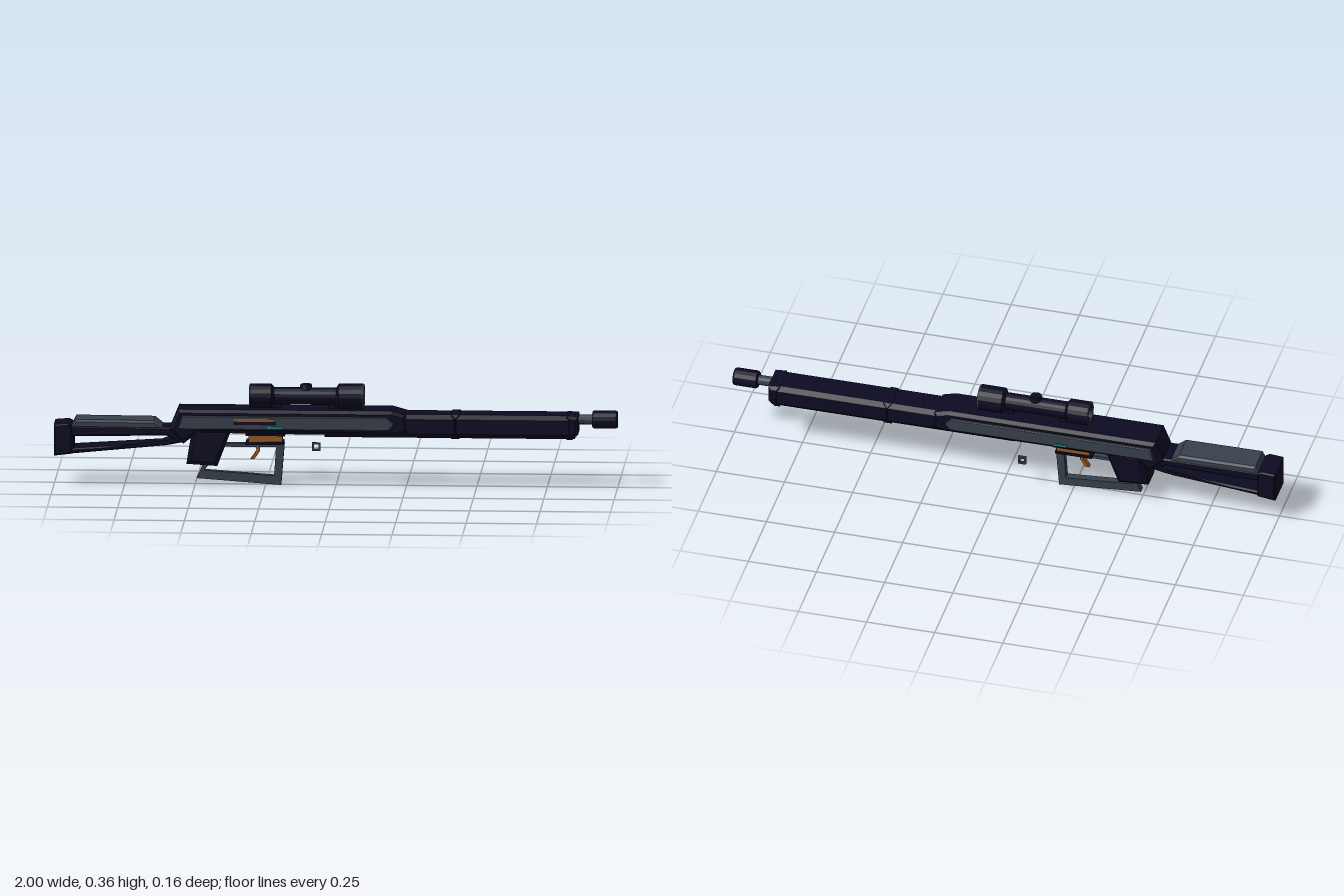
import * as THREE from 'three';

const mat = (name, color) => {
  const m = new THREE.MeshStandardMaterial({ color, flatShading: true });
  m.name = name;
  return m;
};

export function createModel() {
  const navy = mat('dark navy', 0x0c0b22);
  const grey = mat('slate grey', 0x38404c);
  const copper = mat('copper', 0x96561f);
  const teal = mat('teal', 0x1f8080);
  const group = new THREE.Group();

  const add = (name, geometry, material, x = 0, y = 0, z = 0) => {
    const mesh = new THREE.Mesh(geometry, material);
    mesh.name = name;
    mesh.position.set(x, y, z);
    group.add(mesh);
    return mesh;
  };
  const box = (name, m, x0, x1, y0, y1, z0, z1) =>
    add(name, new THREE.BoxGeometry(x1 - x0, y1 - y0, z1 - z0), m, (x0 + x1) / 2, (y0 + y1) / 2, (z0 + z1) / 2);
  const points = (list) => list.map(([x, y]) => new THREE.Vector2(x, y));

  // Side outline extruded across z from z0 to z1, with chamfers inside the outline
  const plate = (name, m, outline, z0, z1, bevel = 0, hole) => {
    const shape = new THREE.Shape(points(outline));
    if (hole) shape.holes.push(new THREE.Path(points(hole)));
    const geometry = new THREE.ExtrudeGeometry(shape, {
      depth: z1 - z0 - 2 * bevel, bevelEnabled: bevel > 0, bevelSegments: 1,
      bevelSize: bevel, bevelThickness: bevel, bevelOffset: -bevel,
    });
    return add(name, geometry, m, 0, 0, z0 + bevel);
  };

  // Turned part along x, profile given as [x, radius]
  const turned = (name, m, y, profile, sides = 18) => {
    const mesh = add(name, new THREE.LatheGeometry(points(profile.map(([x, r]) => [r, x])), sides), m, 0, y, 0);
    mesh.rotation.z = -Math.PI / 2;
    return mesh;
  };

  // Shoulder stock with an open middle, butt and cheek rest
  plate('stock', navy,
    [[-0.96, 0.113], [-0.6, 0.148], [-0.54, 0.16], [-0.55, 0.212], [-0.96, 0.215]],
    -0.055, 0.055, 0.006, [[-0.93, 0.135], [-0.93, 0.177], [-0.6, 0.183], [-0.575, 0.172], [-0.62, 0.155]]);
  plate('butt', navy, [[-1, 0.108], [-0.935, 0.116], [-0.935, 0.216], [-0.95, 0.224], [-1, 0.22]], -0.062, 0.062, 0.005);
  plate('cheekRest', grey, [[-0.94, 0.208], [-0.61, 0.208], [-0.645, 0.236], [-0.925, 0.238]], -0.056, 0.056, 0.008);

  // Receiver and fore-end
  plate('receiver', navy,
    [[-0.54, 0.155], [-0.49, 0.195], [0.21, 0.19], [0.26, 0.2], [0.25, 0.265], [0.2, 0.279], [-0.56, 0.279], [-0.59, 0.205]],
    -0.067, 0.067, 0.012);
  plate('foreEnd', navy, [[-0.04, 0.182], [0.85, 0.182], [0.85, 0.266], [-0.04, 0.266]], -0.06, 0.06, 0.016);
  plate('foreEndCollar', navy, [[0.82, 0.18], [0.84, 0.18], [0.862, 0.2], [0.862, 0.264], [0.82, 0.267]], -0.062, 0.062, 0.012);
  plate('foreEndBand', navy, [[0.41, 0.18], [0.44, 0.18], [0.44, 0.268], [0.41, 0.268]], -0.062, 0.062, 0.014);

  // Side panels with a teal inlay on each side
  const panel = [[-0.56, 0.21], [0.19, 0.21], [0.21, 0.232], [0.185, 0.258], [-0.545, 0.258]];
  for (const s of [-1, 1]) {
    plate('sidePanel', grey, panel, s * 0.07 - 0.006, s * 0.07 + 0.006, 0.003);
    box('tealInlay', teal, -0.24, -0.19, 0.213, 0.223, s * 0.0765 - 0.002, s * 0.0765 + 0.002);
  }
  box('sideRod', copper, -0.36, -0.22, 0.24, 0.25, 0.073, 0.079);
  box('sideSlot', navy, -0.36, -0.21, 0.228, 0.24, 0.074, 0.078);

  // Grip, guard and trigger
  plate('grip', navy, [[-0.53, 0.08], [-0.42, 0.073], [-0.37, 0.205], [-0.51, 0.205]], -0.054, 0.054, 0.014);
  plate('guardFrame', grey,
    [[-0.47, 0.08], [-0.495, 0.024], [-0.195, 0.002], [-0.183, 0.15], [-0.4, 0.15]],
    -0.0135, 0.0135, 0,
    [[-0.445, 0.08], [-0.468, 0.053], [-0.22, 0.035], [-0.213, 0.138], [-0.395, 0.138]]);
  box('triggerHousing', copper, -0.31, -0.19, 0.157, 0.188, -0.03, 0.03);
  box('housingCover', navy, -0.32, -0.18, 0.183, 0.2, -0.045, 0.045);
  box('housingBase', navy, -0.32, -0.185, 0.149, 0.159, -0.034, 0.034);
  plate('trigger', copper, [[-0.29, 0.15], [-0.282, 0.125], [-0.305, 0.093], [-0.29, 0.093], [-0.27, 0.123], [-0.275, 0.15]], -0.009, 0.009);

  // Small loose square ring beside the body
  plate('squareRing', grey, [[-0.09, 0.111], [-0.06, 0.111], [-0.06, 0.141], [-0.09, 0.141]], -0.076, -0.066, 0,
    [[-0.083, 0.118], [-0.067, 0.118], [-0.067, 0.134], [-0.083, 0.134]]);

  // Barrel and muzzle
  turned('barrel', grey, 0.246, [[0.84, 0], [0.84, 0.018], [0.92, 0.018]], 12);
  turned('muzzle', navy, 0.246, [[0.91, 0], [0.91, 0.028], [0.916, 0.032], [0.994, 0.032], [1, 0.028], [1, 0]], 14);
  turned('muzzleBore', grey, 0.246, [[0.99, 0.011], [1.001, 0.011], [1.001, 0]], 10);

  // Hollow scope with rims, crosshair, turret and mounts
  const sy = 0.321;
  turned('scopeTube', navy, sy, [
    [-0.305, 0.032], [-0.305, 0.043], [-0.23, 0.043], [-0.22, 0.031], [0, 0.031], [0.01, 0.046],
    [0.095, 0.046], [0.095, 0.032], [0.06, 0.027], [-0.27, 0.027], [-0.305, 0.032]]);
  turned('frontRim', grey, sy, [[0.094, 0.046], [0.1, 0.044], [0.1, 0.034], [0.094, 0.032]]);
  turned('rearRim', grey, sy, [[-0.304, 0.032], [-0.308, 0.034], [-0.308, 0.04], [-0.304, 0.043]]);
  box('crosshairVertical', navy, -0.001, 0.001, sy - 0.028, sy + 0.028, -0.0007, 0.0007);
  box('crosshairHorizontal', navy, -0.001, 0.001, sy - 0.0007, sy + 0.0007, -0.028, 0.028);
  add('turret', new THREE.CylinderGeometry(0.02, 0.023, 0.02, 12), navy, -0.107, 0.354, 0);
  for (const x of [-0.21, -0.015]) box('scopeMount', navy, x - 0.014, x + 0.014, 0.272, 0.295, -0.016, 0.016);

  return group;
}
